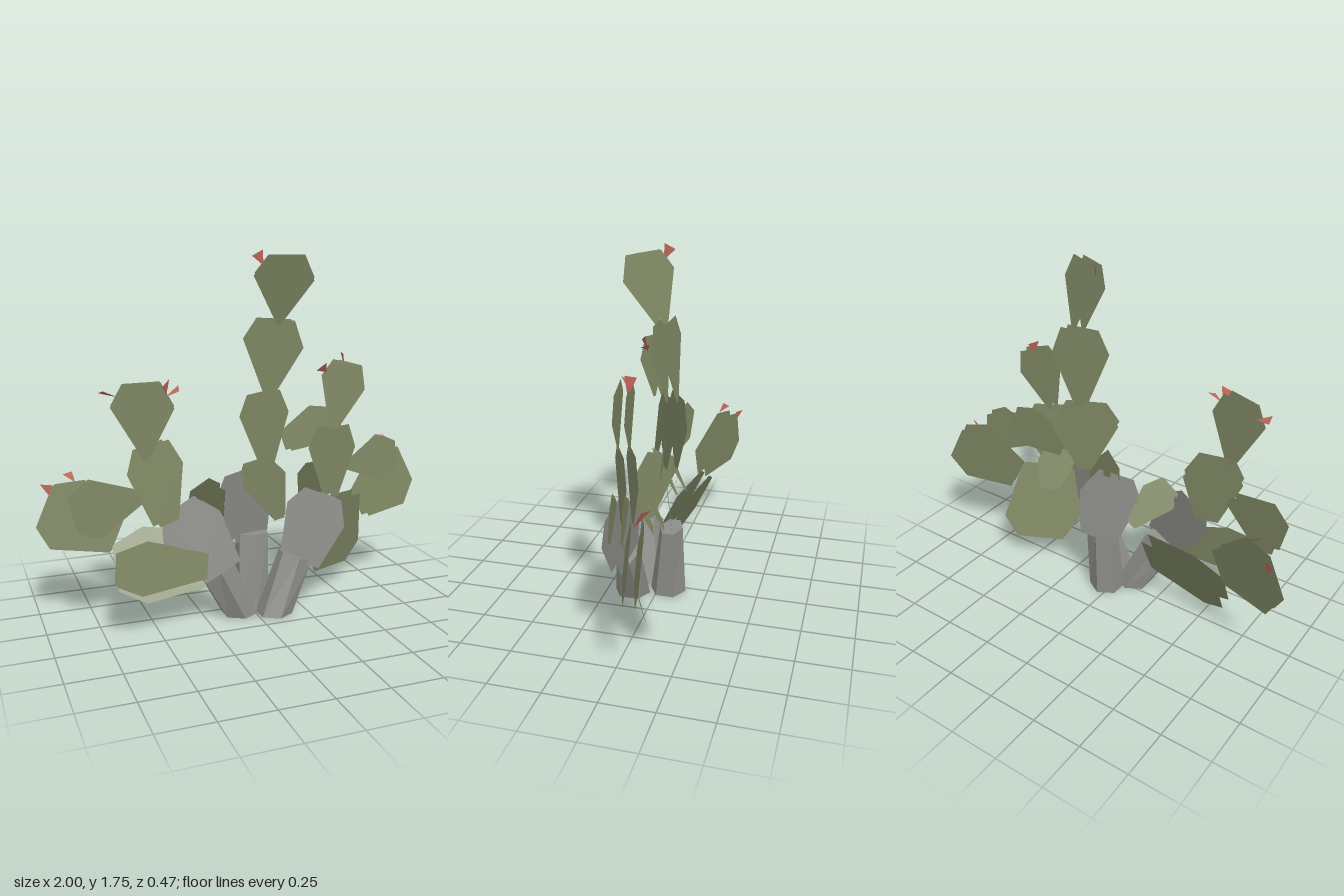
import * as THREE from 'three';

const mat = (name, color, side = THREE.DoubleSide) => {
  const m = new THREE.MeshStandardMaterial({ color, side, flatShading: true });
  m.name = name;
  return m;
};

// Pad outline: a narrow foot, wide shoulders and a blunt tip, laid along foot -> tip
function outline([x0, y0], [x1, y1], width, foot) {
  const dx = x1 - x0, dy = y1 - y0, len = Math.hypot(dx, dy);
  const profile = [[-foot, 0], [foot, 0], [.5, .66], [.3, 1], [-.3, 1], [-.5, .73]];
  return new THREE.Shape(profile.map(([v, u]) =>
    new THREE.Vector2(x0 + dx * u + dy / len * v * width, y0 + dy * u - dx / len * v * width)));
}

// Lays a flat geometry into a plane of depth z with slopes a (along x) and b (along y)
function tilt(geo, foot, tip, z, a, b, offset) {
  const n = new THREE.Vector3(-a, -b, 1).normalize();
  const cx = (foot[0] + tip[0]) / 2, cy = (foot[1] + tip[1]) / 2;
  const pos = geo.attributes.position;
  for (let i = 0; i < pos.count; i++) {
    const x = pos.getX(i), y = pos.getY(i);
    pos.setXYZ(i, x + n.x * offset, y + n.y * offset, z + a * (x - cx) + b * (y - cy) + n.z * offset);
  }
  geo.computeVertexNormals();
  return geo;
}

export function createModel() {
  const model = new THREE.Group();
  model.name = 'pricklyCactus';
  const green = mat('pad green', 0x7f8864);
  const grey = mat('woody grey', 0x8c8c88);
  const pink = mat('flower pink', 0xc0665a);
  const add = (parent, name, geo, material) => {
    const m = new THREE.Mesh(geo, material);
    m.name = name;
    parent.add(m);
  };

  // Pad: a front and a back face with an open rim
  const pad = (name, foot, tip, width, z, a, b = 0, footWidth = .04, material = green) => {
    const group = new THREE.Group();
    group.name = name;
    for (const s of [1, -1]) {
      const geo = new THREE.ShapeGeometry(outline(foot, tip, width, footWidth));
      add(group, s > 0 ? 'frontFace' : 'backFace', tilt(geo, foot, tip, z, a, b, s * .026), material);
    }
    model.add(group);
  };

  // Leaning faceted stem: level at the ground, top cut across the lean, thinner in depth
  const stem = (name, [x0, z0], [x1, z1], h) => {
    const geo = new THREE.CylinderGeometry(.088, .09, h, 6);
    geo.translate(0, h / 2, 0);
    const lean = (x1 - x0) / h;
    const pos = geo.attributes.position;
    for (let i = 0; i < pos.count; i++) {
      const x = pos.getX(i), y = pos.getY(i), t = y / h;
      pos.setXYZ(i, x + x0 + (x1 - x0) * t, y - lean * x * t,
        pos.getZ(i) * (1 - .35 * t) + z0 + (z1 - z0) * t);
    }
    geo.computeVertexNormals();
    add(model, name, geo, grey);
  };

  // Flower: a small flat fan widening outwards by w on each side of its end
  const flower = (name, root, end, w) => {
    const corner = s => end.map((v, k) => v + s * w[k]);
    const geo = new THREE.BufferGeometry();
    geo.setAttribute('position',
      new THREE.Float32BufferAttribute([...root, ...corner(1), ...corner(-1)], 3));
    geo.computeVertexNormals();
    add(model, name, geo, pink);
  };

  // Woody base
  stem('rightStem', [-.07, .06], [-.21, .1], .28);
  stem('leftStem', [.09, .12], [.205, .11], .28);
  stem('centreStem', [.03, -.05], [.045, -.07], .36);
  pad('rightWoodyPad', [-.19, .265], [-.38, .575], .3, .12, .2, -.15, .32, grey);
  pad('centreWoodyPad', [.04, .335], [-.015, .68], .29, -.07, -.3, .12, .32, grey);
  pad('leftWoodyPad', [.225, .245], [.355, .575], .3, .11, .15, -.1, .32, grey);

  // Centre branch
  pad('crownPad', [.18, 1.41], [.18, 1.725], .26, -.015, .48, .27);
  pad('upperPad', [.14, 1.04], [.165, 1.425], .3, -.08, .03, .08);
  pad('middlePad', [.13, .71], [.115, 1.065], .28, -.09, -.55, -.05, .1);
  pad('centrePad', [.155, .455], [.04, .74], .2, .01, .5, .05, .12);
  flower('crownFlower', [.09, 1.68, -.04], [.07, 1.74, -.065], [.02, .015, .02]);

  // Right branch
  pad('rightTopPad', [-.545, .84], [-.565, 1.18], .27, .16, .27, .05);
  pad('rightUpperPad', [-.45, .52], [-.505, .885], .26, .1, -.42, -.18, .2);
  pad('rightSmallPad', [-.57, .66], [-.865, .585], .27, .1, .27, -.03, .1);
  pad('rightFarPad', [-.64, .43], [-.955, .565], .36, -.13, .36, -.15, .25);
  pad('rightLowFrontPad', [-.27, .3], [-.7, .345], .24, .17, -.12, -.12, .25);
  pad('rightLowPad', [-.2, .28], [-.655, .26], .33, -.03, .15, -.48, .36);
  pad('rightInnerPad', [-.14, .465], [-.26, .655], .18, 0, -.3, .6, .15);
  flower('rightTopFlowerA', [-.46, 1.11, .19], [-.465, 1.185, .215], [.02, .015, -.015]);
  flower('rightTopFlowerB', [-.46, 1.12, .19], [-.4, 1.155, .19], [.005, .01, -.025]);
  flower('rightTopFlowerC', [-.66, 1.12, .13], [-.735, 1.145, .12], [.005, .008, .028]);
  flower('rightFarFlowerA', [-.92, .59, -.2], [-.945, .66, -.225], [.025, 0, .015]);
  flower('rightFarFlowerB', [-.82, .685, -.13], [-.85, .725, -.165], [.025, 0, -.022]);

  // Left branch
  pad('leftTopPad', [.43, .89], [.515, 1.21], .23, .035, -.1, -.06);
  pad('leftUpperPad', [.425, .54], [.435, .9], .28, .04, -.5, 0, .08);
  pad('leftBackPad', [.24, .805], [.515, .9], .2, -.14, -.2, -.1, .25);
  pad('leftInnerPad', [.36, .5], [.365, .7], .18, -.04, -.3, .5, .25);
  pad('leftSmallPad', [.53, .68], [.815, .715], .235, 0, -.2, -.05, .08);
  pad('leftFarPad', [.63, .46], [.94, .625], .36, -.09, -.3, -.13, .22);
  pad('leftLowPad', [.47, .535], [.46, .14], .38, -.01, -.45, .28, .34);
  flower('leftTopFlowerA', [.39, 1.17, .04], [.355, 1.2, .06], [.02, .02, .015]);
  flower('leftTopFlowerB', [.51, 1.17, .005], [.495, 1.255, -.005], [.008, 0, -.03]);
  flower('leftFarFlower', [.8, .71, -.1], [.8, .79, -.155], [.02, 0, .015]);
  return model;
}
